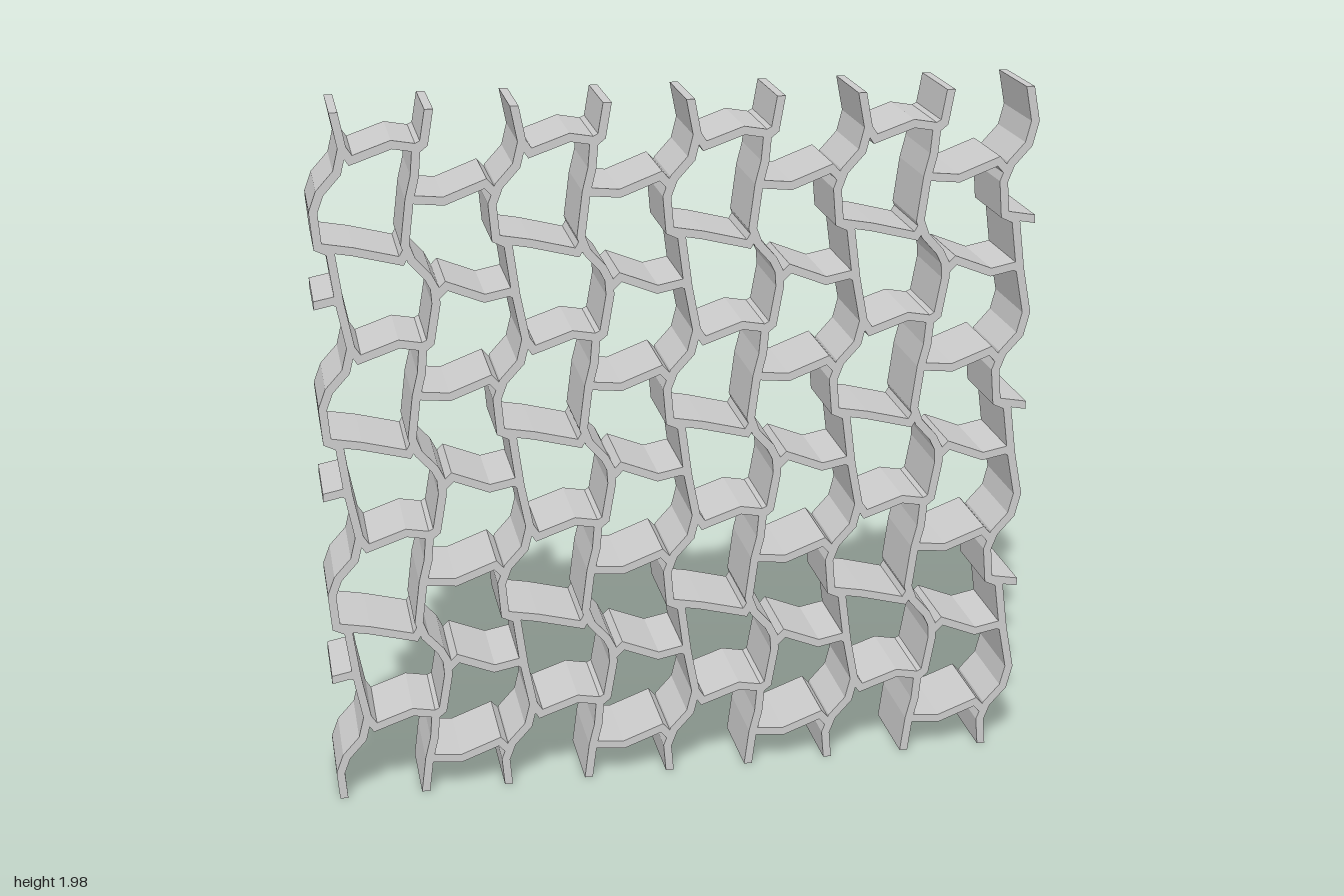
import * as THREE from 'three';

const PITCH_X = 0.4735, PITCH_Y = 0.5465, HEIGHT = 1.983, DEPTH = 0.245, WALL = 0.023;

// Repeating cell: centrelines of two upright walls (listed downwards) and four cross struts
const WALL_A = [[0.094, 0.247], [0.078, 0.183], [0.03, 0.13], [0.011, 0.08], [0.019, -0.015], [0.051, -0.03], [0.07, -0.175]];
const WALL_B = [[0.308, 0.253], [0.287, 0.236], [0.281, 0.167], [0.265, 0.103], [0.249, -0.02],
  [0.265, -0.063], [0.308, -0.111], [0.324, -0.143], [0.327, -0.186]];
const STRUTS = [
  { name: 'upperStrut', pts: [[0.094, 0.247], [0.115, 0.215], [0.223, 0.253], [0.287, 0.242], [0.308, 0.253]], cols: [0, 3], rows: [0, 3] },
  { name: 'linkStrut', pts: [[0.27, 0.103], [0.356, 0.095], [0.468, 0.138], [0.495, 0.108]], cols: [0, 3], rows: [0, 3] },
  { name: 'lowerStrut', pts: [[0.019, -0.015], [0.11, -0.031], [0.238, -0.063], [0.254, -0.036]], cols: [0, 4], rows: [1, 3] },
  { name: 'lowerLinkStrut', pts: [[0.33, -0.164], [0.356, -0.138], [0.458, -0.178], [0.527, -0.164], [0.548, -0.175]], cols: [-1, 3], rows: [1, 3] },
];

const place = (pts, col, row) => pts.map(([x, y]) => new THREE.Vector2(x - 1 + col * PITCH_X, y + row * PITCH_Y));

// Outline of a mitred strip of constant width along a centreline
function strip(pts, width) {
  const left = [], right = [];
  pts.forEach((p, i) => {
    const a = pts[Math.max(i - 1, 0)], b = pts[Math.min(i + 1, pts.length - 1)];
    const d0 = i > 0 ? p.clone().sub(a).normalize() : b.clone().sub(p).normalize();
    const d1 = i < pts.length - 1 ? b.clone().sub(p).normalize() : d0;
    const n0 = new THREE.Vector2(-d0.y, d0.x);
    const m = n0.clone().add(new THREE.Vector2(-d1.y, d1.x)).normalize();
    m.multiplyScalar(width / 2 / Math.max(m.dot(n0), 0.5));
    left.push(p.clone().add(m));
    right.unshift(p.clone().sub(m));
  });
  return [...left, ...right];
}

// Trim an outline to the side of a line where sign * (axis - limit) <= 0
function trim(poly, axis, limit, sign) {
  const out = [];
  poly.forEach((p, i) => {
    const q = poly[(i + 1) % poly.length];
    const dp = sign * (p[axis] - limit), dq = sign * (q[axis] - limit);
    if (dp <= 0) out.push(p);
    if (dp * dq < 0) out.push(p.clone().lerp(q, dp / (dp - dq)));
  });
  return out;
}

export function createModel() {
  const group = new THREE.Group();
  group.name = 'latticePanel';
  const material = new THREE.MeshStandardMaterial({ color: 0xcccccc, flatShading: true });

  const addStrip = (name, pts) => {
    let poly = strip(pts, WALL);
    for (const [axis, limit, sign] of [['y', 0, -1], ['y', HEIGHT, 1], ['x', -1, -1], ['x', 1, 1]]) {
      poly = trim(poly, axis, limit, sign);
    }
    const geometry = new THREE.ExtrudeGeometry(new THREE.Shape(poly), { depth: DEPTH, bevelEnabled: false });
    geometry.translate(0, 0, -DEPTH / 2);
    const mesh = new THREE.Mesh(geometry, material);
    mesh.name = name;
    group.add(mesh);
  };

  // Continuous upright walls, trimmed flat at top and bottom
  const addWalls = (name, pts, count) => {
    for (let col = 0; col < count; col++) {
      const line = [];
      for (let row = 4; row >= 0; row--) line.push(...place(pts, col, row));
      addStrip(name, line);
    }
  };
  addWalls('wavyWall', WALL_A, 5);
  addWalls('counterWavyWall', WALL_B, 4);

  // Cross struts between the walls, with stubs at the side edges
  for (const { name, pts, cols, rows } of STRUTS) {
    for (let col = cols[0]; col <= cols[1]; col++) {
      for (let row = rows[0]; row <= rows[1]; row++) addStrip(name, place(pts, col, row));
    }
  }
  return group;
}
